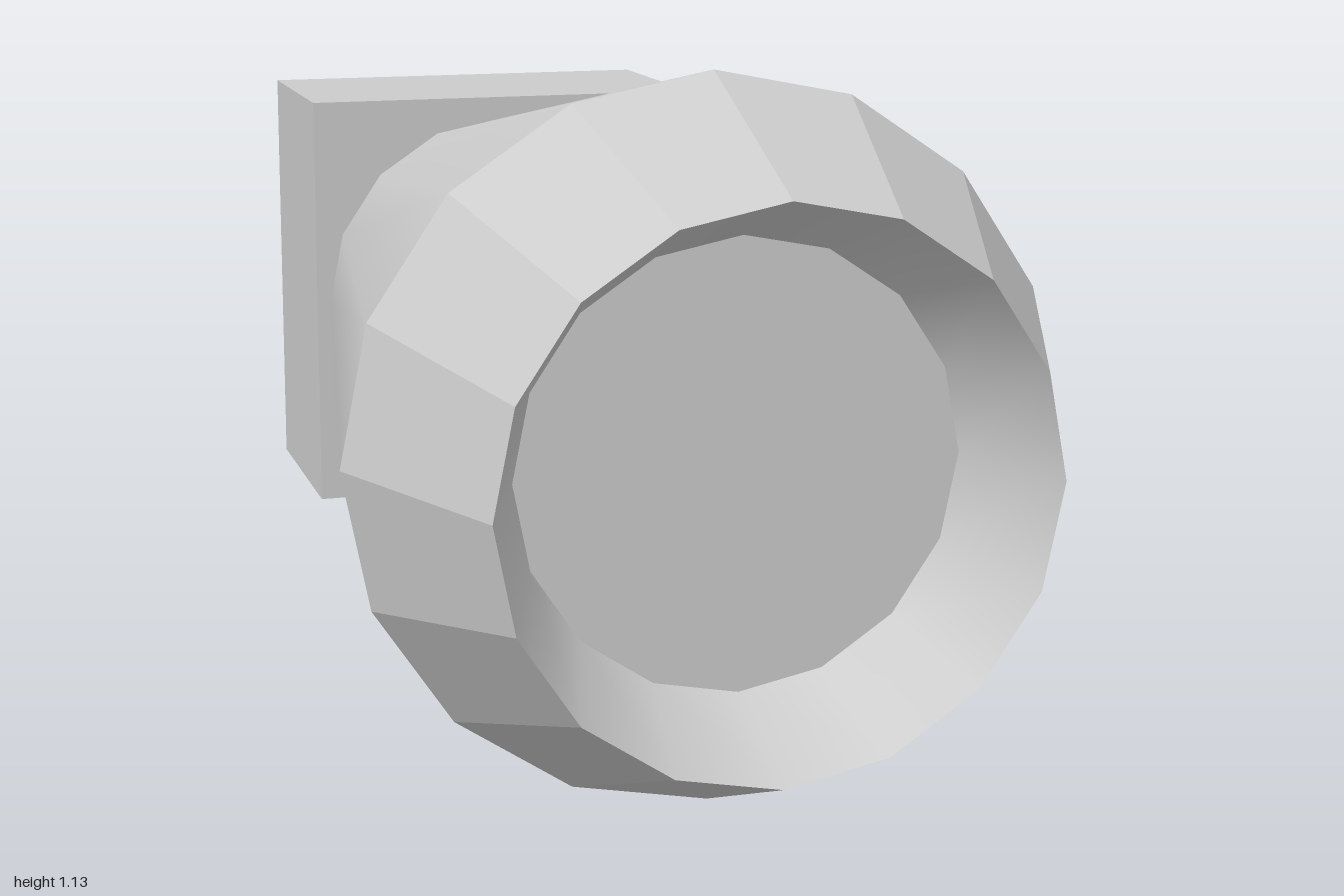
import * as THREE from 'three';

const SIDES = 16;
const CENTER_Y = 0.563;

const material = (flatShading) =>
  new THREE.MeshStandardMaterial({ color: 0xcccccc, flatShading });

// Surface of revolution about the z axis; profile is a list of [radius, z]
function ring(name, profile, flat) {
  const points = profile.map(([r, z]) => new THREE.Vector2(r, z));
  const geometry = new THREE.LatheGeometry(points, SIDES);
  geometry.rotateX(Math.PI / 2);
  const mesh = new THREE.Mesh(geometry, material(flat));
  mesh.name = name;
  return mesh;
}

export function createModel() {
  const model = new THREE.Group();
  model.name = 'nozzle';

  const body = new THREE.Group();
  body.name = 'roundBody';
  body.position.y = CENTER_Y;
  body.add(
    // Smooth barrel widening towards the front
    ring('taperedBarrel', [[0.345, -0.59], [0.563, 0.66]], false),
    // Faceted bevel closing in to the mouth
    ring('frontBevel', [[0.563, 0.66], [0.42, 1]], true),
    // Smooth wall of the recess and its flat floor
    ring('recessWall', [[0.42, 1], [0.342, 0.8]], false),
    ring('recessFloor', [[0.342, 0.8], [0, 0.8]], true),
  );
  model.add(body);

  // Mounting block at the back
  const block = new THREE.Mesh(new THREE.BoxGeometry(0.74, 0.77, 0.41), material(true));
  block.name = 'mountingBlock';
  block.position.set(0, CENTER_Y, -0.795);
  model.add(block);

  return model;
}
